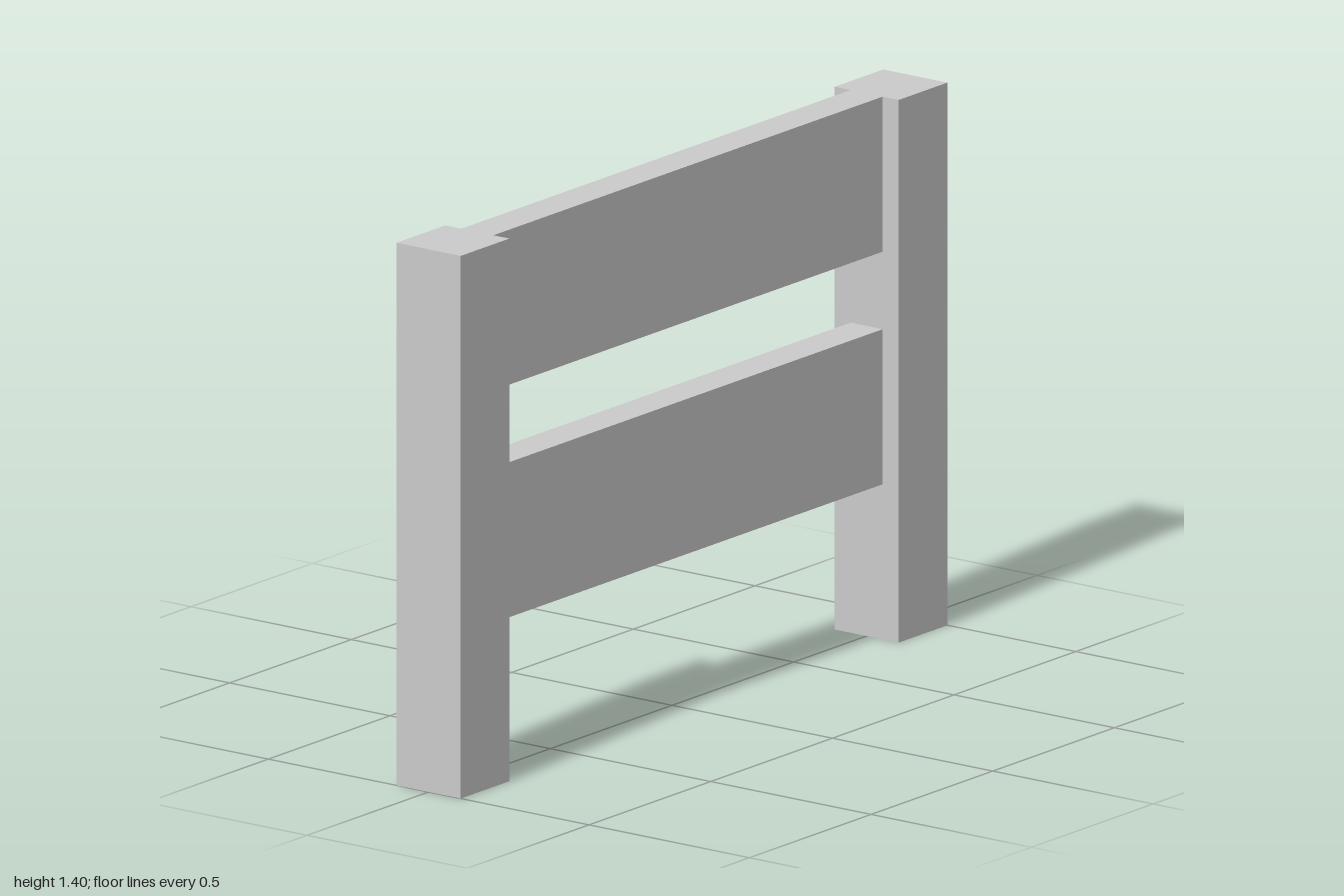
import * as THREE from 'three';

const material = new THREE.MeshStandardMaterial({ color: 0xcccccc, flatShading: true });

function addBox(group, name, [w, h, d], [x, y, z]) {
  const mesh = new THREE.Mesh(new THREE.BoxGeometry(w, h, d), material);
  mesh.name = name;
  mesh.position.set(x, y, z);
  group.add(mesh);
}

export function createModel() {
  const fence = new THREE.Group();
  fence.name = 'fence';

  // square end posts
  for (const [name, side] of [['leftPost', 1], ['rightPost', -1]]) {
    addBox(fence, name, [0.2, 1.4, 0.2], [side * 0.9, 0.7, 0]);
  }

  // thinner horizontal boards between the posts
  for (const [name, y] of [['lowerRail', 0.6], ['upperRail', 1.2]]) {
    addBox(fence, name, [1.6, 0.4, 0.1], [0, y, 0]);
  }

  return fence;
}
